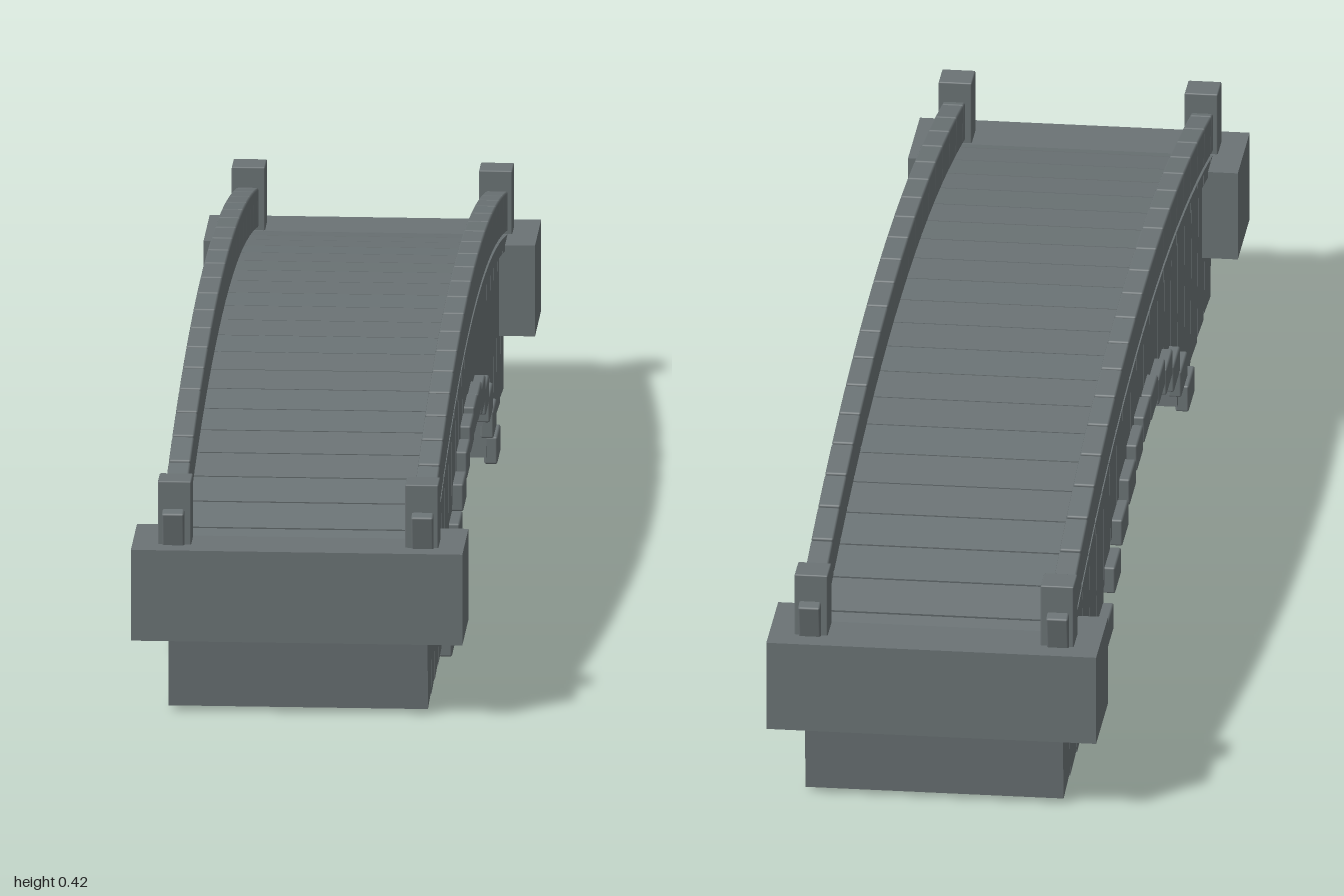
import * as THREE from 'three';
import { RoundedBoxGeometry } from 'three/addons/geometries/RoundedBoxGeometry.js';

const COUNT = 22;        // courses along the span
const PITCH = 0.088;     // spacing of the courses
const HALF = 0.97;       // half length of the deck
const ARCH_R = 0.945;    // radius of the arch opening

const deckTop = (z) => 0.36 - 0.112 * (z / HALF) ** 2;
const deckSlope = (z) => Math.atan((0.224 * z) / (HALF * HALF));
const archY = (z) => 0.22 - ARCH_R + Math.sqrt(ARCH_R * ARCH_R - z * z);

export function createModel() {
  const bridge = new THREE.Group();
  bridge.name = 'stoneBridge';
  const stone = new THREE.MeshStandardMaterial({ color: 0x6b7375 });
  stone.name = 'greyStone';

  function block(name, size, pos, tilt = 0, bevel = 0) {
    const geometry = bevel
      ? new RoundedBoxGeometry(...size, 1, bevel)
      : new THREE.BoxGeometry(...size);
    const mesh = new THREE.Mesh(geometry, stone);
    mesh.name = name;
    mesh.position.set(...pos);
    mesh.rotation.x = tilt;
    bridge.add(mesh);
  }

  for (let i = 0; i < COUNT; i++) {
    const z = (i - (COUNT - 1) / 2) * PITCH;
    const top = deckTop(z);
    const slope = deckSlope(z);

    // Wall course, reaching the ground or the arch opening
    const bottom = Math.abs(z) > 0.53 ? 0.015 : archY(z);
    const wallTop = top - 0.024;
    block('wallCourse', [0.388, wallTop - bottom, 0.084],
      [0, (wallTop + bottom) / 2, z], z * 0.1);

    // Deck slab following the curve
    block('deckSlab', [0.406, 0.022, 0.086], [0, top - 0.011, z], slope);

    // Parapet block on each side, square to the deck
    for (const side of [-1, 1]) {
      block('parapetBlock', [0.033, 0.06, 0.086],
        [side * 0.1865, top + 0.035 * Math.cos(slope), z + 0.035 * Math.sin(slope)],
        slope, 0.003);
    }
  }

  // Arch stones along both faces of the opening
  for (let i = -6; i <= 6; i++) {
    const z = i * 0.0958;
    for (const side of [-1, 1]) {
      block('archStone', [0.02, 0.042, 0.08], [side * 0.2, archY(z), z], 0, 0.003);
    }
  }

  // Abutments and end posts
  for (const end of [-1, 1]) {
    block('abutment', [0.496, 0.14, 0.155], [0, 0.192, end * 0.9225]);
    for (const side of [-1, 1]) {
      block('endPost', [0.05, 0.16, 0.05], [side * 0.185, 0.279, end * 0.938], 0, 0.002);
    }
  }
  return bridge;
}
